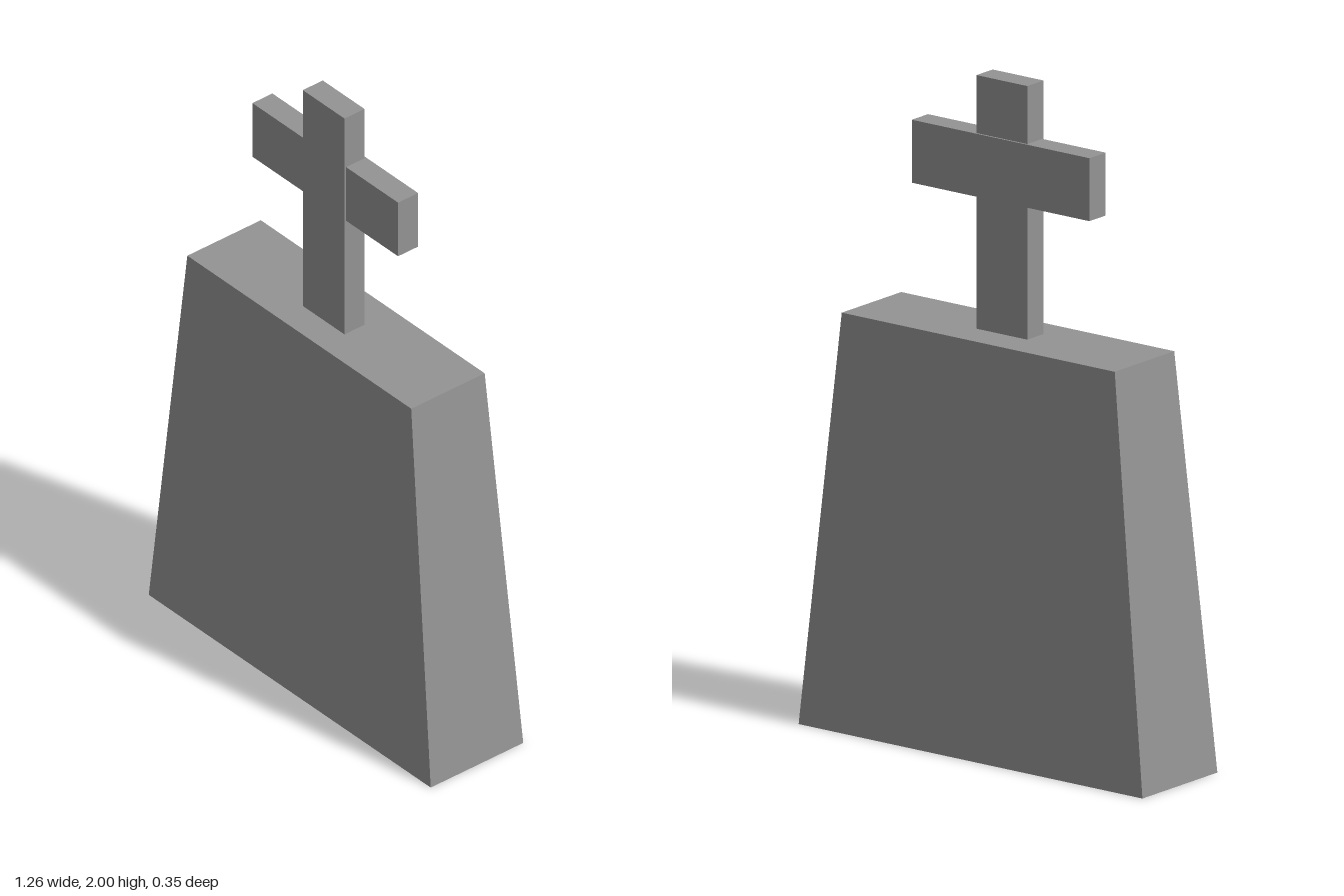
import * as THREE from 'three';

const material = new THREE.MeshStandardMaterial({ color: 0x949494, flatShading: true });

// Box given by its size and the range of heights it spans
function block(name, width, bottom, top, depth, x = 0, z = 0) {
  const geometry = new THREE.BoxGeometry(width, top - bottom, depth);
  const mesh = new THREE.Mesh(geometry, material);
  mesh.name = name;
  mesh.position.set(x, (bottom + top) / 2, z);
  return mesh;
}

// Narrow the upper corners of a block
function taper(mesh, scale) {
  const p = mesh.geometry.attributes.position;
  for (let i = 0; i < p.count; i++) {
    if (p.getY(i) > 0) {
      p.setX(i, p.getX(i) * scale);
      p.setZ(i, p.getZ(i) * scale);
    }
  }
  mesh.geometry.computeVertexNormals();
  return mesh;
}

export function createModel() {
  const group = new THREE.Group();
  group.name = 'gravestone';

  // Tapered stone slab
  group.add(taper(block('stone', 1.258, 0, 1.243, 0.347), 0.794));

  // Cross: the bar sits slightly behind the post
  const cross = new THREE.Group();
  cross.name = 'cross';
  cross.add(block('crossPost', 0.186, 1.243, 2, 0.075, -0.001, 0.008));
  cross.add(block('crossBar', 0.65, 1.639, 1.827, 0.075, -0.001, 0.002));
  group.add(cross);

  return group;
}
